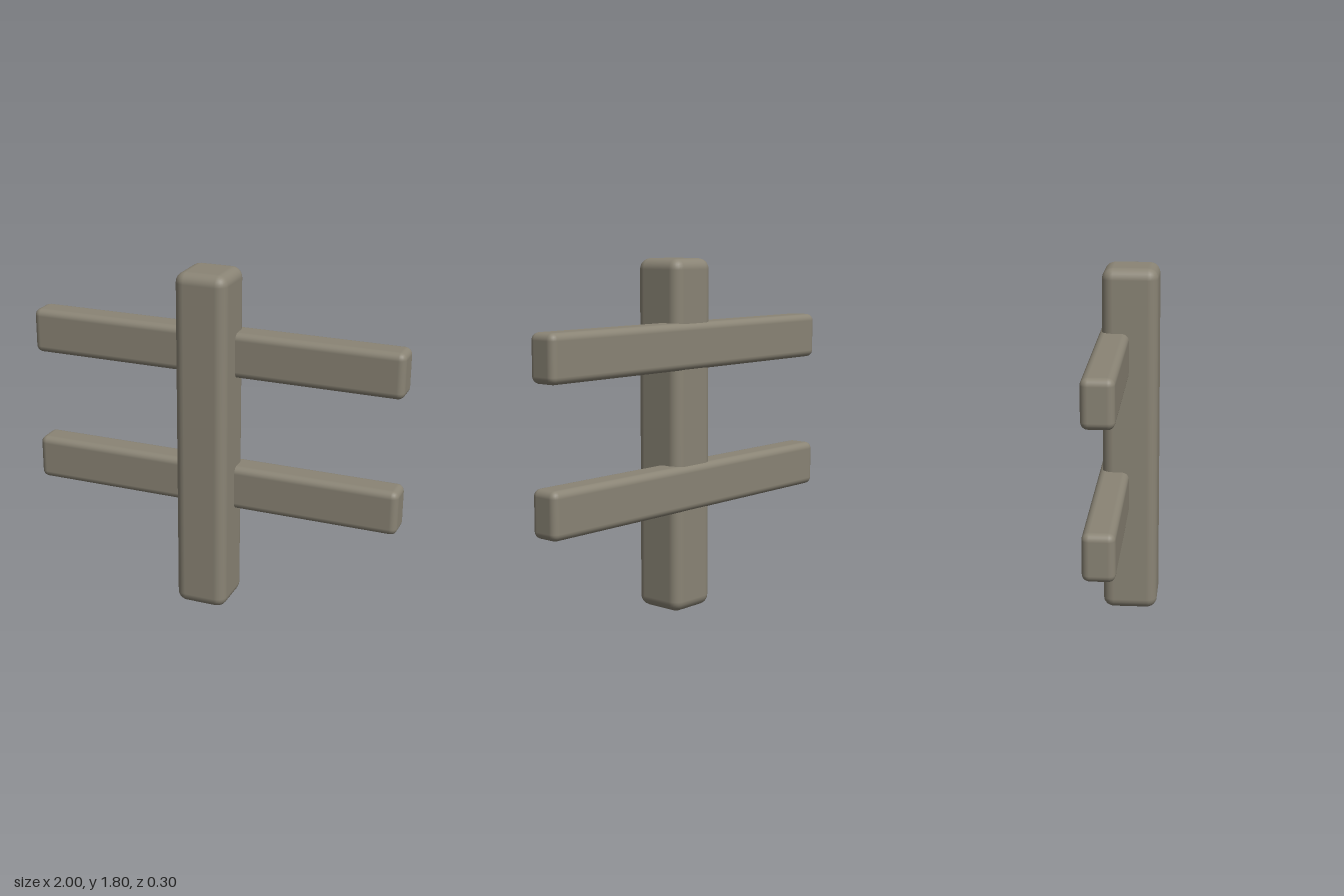
import * as THREE from 'three';
import { RoundedBoxGeometry } from 'three/addons/geometries/RoundedBoxGeometry.js';

export function createModel() {
  const model = new THREE.Group();
  model.name = 'fencePost';

  const wood = new THREE.MeshStandardMaterial({ color: 0x8a8475 });
  wood.name = 'weathered wood';

  // Softly rounded timber
  function beam(name, [w, h, d], radius, [x, y, z]) {
    const mesh = new THREE.Mesh(new RoundedBoxGeometry(w, h, d, 3, radius), wood);
    mesh.name = name;
    mesh.position.set(x, y, z);
    model.add(mesh);
  }

  // Upright post
  beam('post', [0.274, 1.8, 0.28], 0.055, [0, 0.9, 0.01]);

  // Two rails let into the back of the post
  const rails = { lowerRail: 0.643, upperRail: 1.363 };
  for (const [name, y] of Object.entries(rails)) {
    beam(name, [2, 0.236, 0.156], 0.036, [0, y, -0.072]);
  }

  return model;
}
